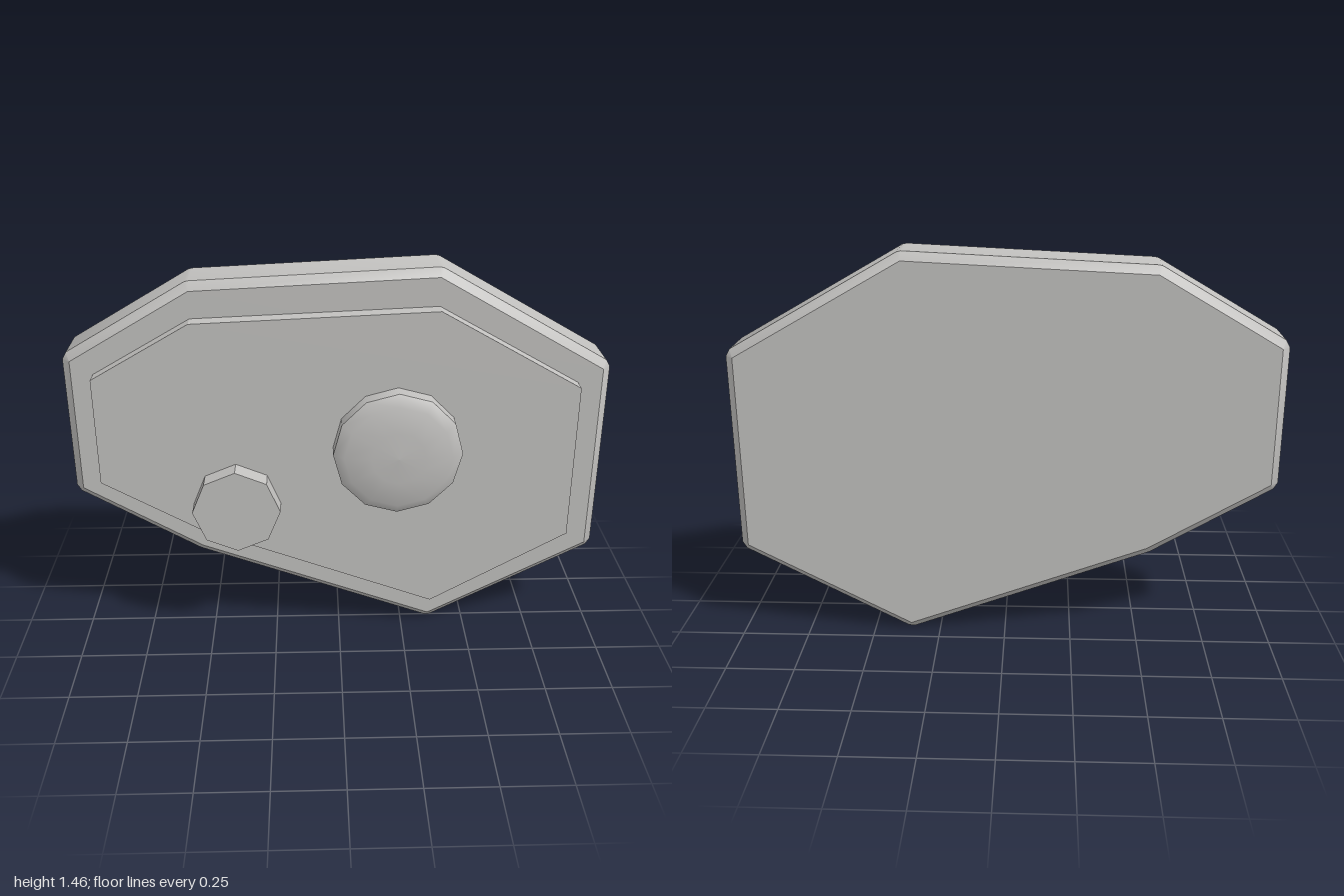
import * as THREE from 'three';
import { toCreasedNormals } from 'three/addons/utils/BufferGeometryUtils.js';
import { ConvexGeometry } from 'three/addons/geometries/ConvexGeometry.js';

const grey = new THREE.MeshStandardMaterial({ color: 0xc2c1bf });
grey.name = 'warm grey';

// Outlines run clockwise as seen from the front.
const bodyOutline = [
  [-0.97, 1.13], [-0.53, 1.387], [0.36, 1.43], [0.97, 1.08],
  [0.97, 0.35], [0.36, 0.03], [-0.53, 0.36], [-0.97, 0.62],
];
const plateOutline = [
  [-0.89, 1.08], [-0.53, 1.287], [0.36, 1.325], [0.88, 1.03],
  [0.88, 0.425], [0.36, 0.13], [-0.53, 0.465], [-0.89, 0.67],
];

function addPart(group, name, geometry, x = 0, y = 0, z = 0) {
  const mesh = new THREE.Mesh(geometry, grey);
  mesh.name = name;
  mesh.position.set(x, y, z);
  group.add(mesh);
  return mesh;
}

// Slab whose faces are the outline and whose sides are pushed out by the bevel,
// leaving a small chamfer at every corner.
function bevelledSlab(outline, back, front, bevel) {
  const points = [];
  const n = outline.length;
  const corners = outline.map(([x, y]) => new THREE.Vector2(x, y));
  corners.forEach((a, i) => {
    const b = corners[(i + 1) % n];
    const edge = b.clone().sub(a).normalize();
    const out = new THREE.Vector2(-edge.y, edge.x).multiplyScalar(bevel);
    points.push(new THREE.Vector3(a.x, a.y, front), new THREE.Vector3(a.x, a.y, back));
    for (const p of [a, b]) {
      for (const z of [front - bevel, back + bevel]) {
        points.push(new THREE.Vector3(p.x + out.x, p.y + out.y, z));
      }
    }
  });
  return toCreasedNormals(new ConvexGeometry(points), 0.7);
}

export function createModel() {
  const model = new THREE.Group();
  model.name = 'bevelledPanel';

  // Main body
  addPart(model, 'body', bevelledSlab(bodyOutline, -0.195, 0.03, 0.03));

  // Raised front plate
  const shape = new THREE.Shape(plateOutline.map(([x, y]) => new THREE.Vector2(x, y)));
  addPart(model, 'frontPlate',
    new THREE.ExtrudeGeometry(shape, { depth: 0.06, bevelEnabled: false }), 0, 0, 0.03);

  // Eight-sided knob overlapping the plate's lower edge
  const knob = new THREE.CylinderGeometry(0.164, 0.164, 0.075, 8).rotateX(Math.PI / 2);
  addPart(model, 'smallKnob', toCreasedNormals(knob, 0.5), -0.385, 0.577, 0.1275);

  // Domed button: straight rim with a shallow smooth cap
  const button = new THREE.Group();
  button.name = 'domedButton';
  button.position.set(0.214, 0.802, 0.09);
  model.add(button);
  const rim = new THREE.CylinderGeometry(0.238, 0.238, 0.06, 12, 1, true).rotateX(Math.PI / 2);
  addPart(button, 'buttonRim', rim, 0, 0, 0.03);
  const profile = [[0.238, 0.06], [0.198, 0.09], [0.1, 0.1], [0, 0.105]];
  const cap = new THREE.LatheGeometry(profile.map(([r, h]) => new THREE.Vector2(r, h)), 12);
  addPart(button, 'buttonCap', cap.rotateX(Math.PI / 2));

  return model;
}
